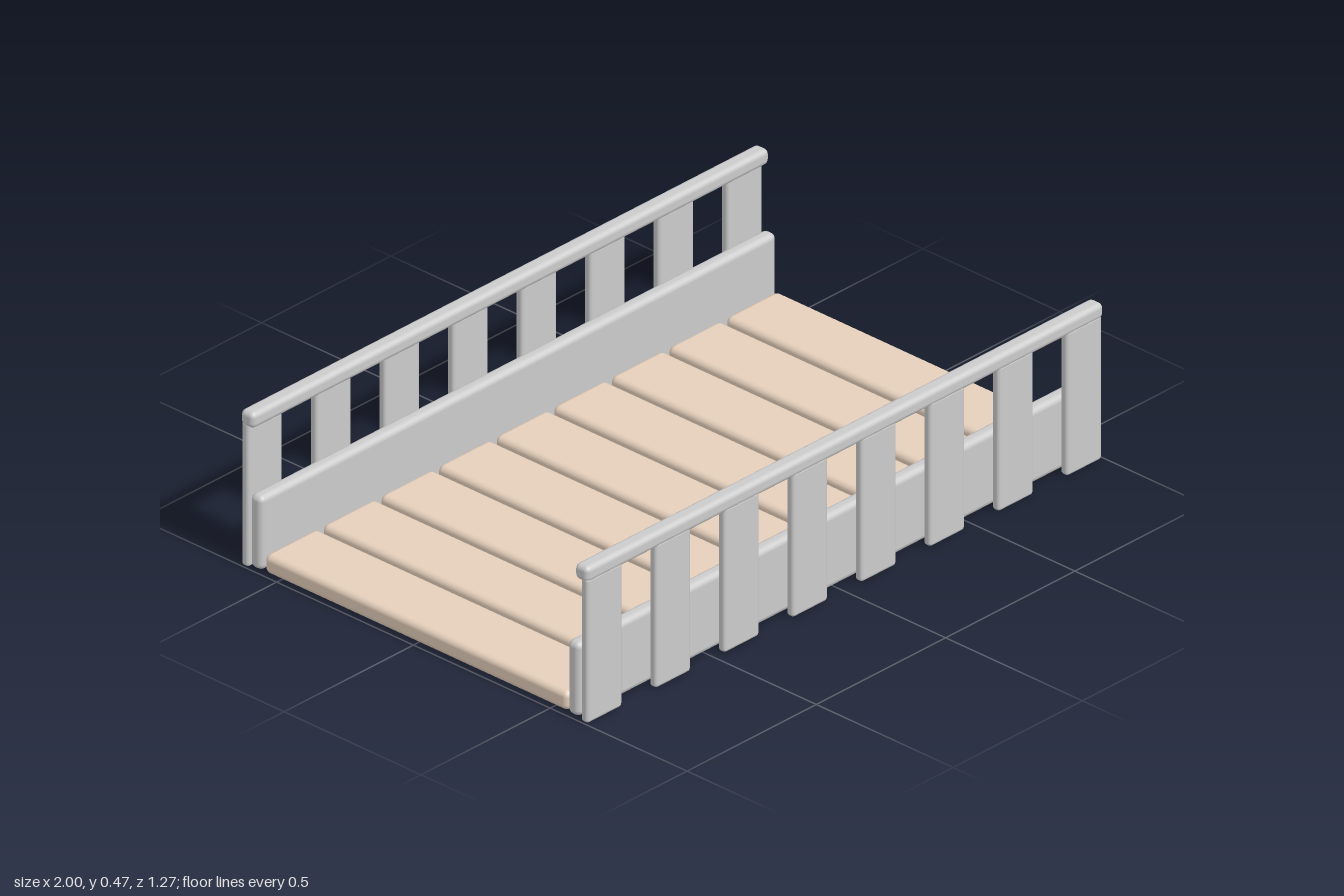
import * as THREE from 'three';
import { RoundedBoxGeometry } from 'three/addons/geometries/RoundedBoxGeometry.js';

const grey = new THREE.MeshStandardMaterial({ color: 0xcccccc });
const wood = new THREE.MeshStandardMaterial({ color: 0xe6d0bc });

// Box with softened edges, placed by its centre
function board(name, size, position, bevel, material) {
  const mesh = new THREE.Mesh(new RoundedBoxGeometry(...size, 2, bevel), material);
  mesh.name = name;
  mesh.position.set(...position);
  return mesh;
}

export function createModel() {
  const model = new THREE.Group();
  model.name = 'slattedBridge';

  // Deck planks laid across the length
  const deck = new THREE.Group();
  deck.name = 'deck';
  for (let i = 0; i < 9; i++) {
    deck.add(board('deckPlank', [0.202, 0.058, 1.11], [(i - 4) * 0.2228, 0.032, 0], 0.018, wood));
  }
  model.add(deck);

  // Matching railings on the front and back
  for (const side of [1, -1]) {
    const railing = new THREE.Group();
    railing.name = side > 0 ? 'frontRailing' : 'backRailing';
    railing.add(board('sideBoard', [1.996, 0.225, 0.045], [0, 0.118, side * 0.58], 0.018, grey));
    railing.add(board('topRail', [2, 0.048, 0.05], [0, 0.451, side * 0.611], 0.016, grey));
    for (let i = 0; i < 8; i++) {
      railing.add(board('post', [0.136, 0.44, 0.027], [-0.929 + i * 0.265, 0.22, side * 0.6205], 0.01, grey));
    }
    model.add(railing);
  }
  return model;
}
